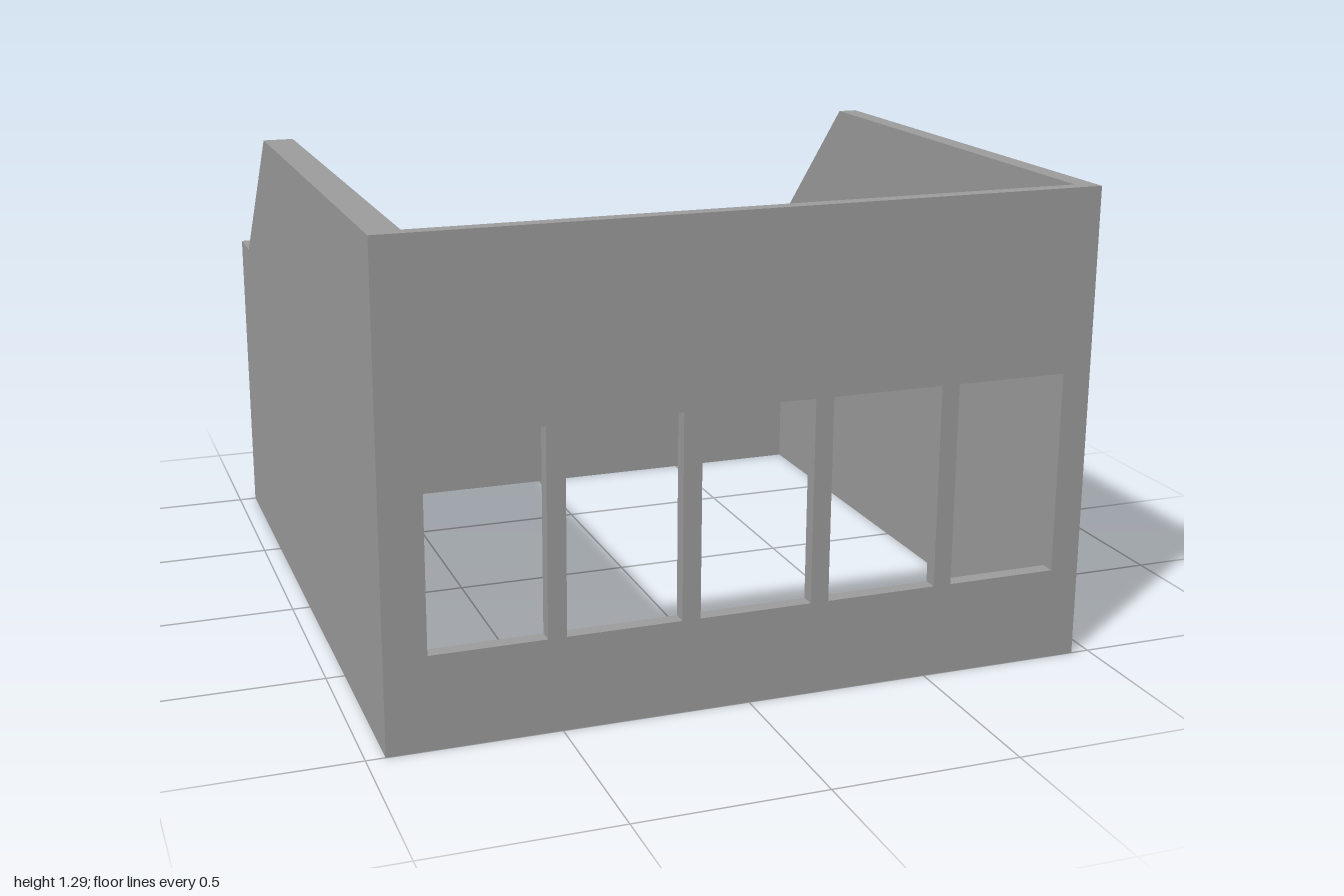
import * as THREE from 'three';
import { mergeGeometries } from 'three/addons/utils/BufferGeometryUtils.js';

const X = 0.95, LEFT = 0.895, RIGHT = -0.865;      // outer and inner faces of the side walls
const FRONT = 0.96, BACK = -0.857;                 // inner faces of the front and back walls
const HIGH = 1.287, LOW = 0.878, SLOPE = -0.443;   // wall heights, z where the slope starts

// Flat sheet from a 2D outline with window holes, placed by a (u, v) -> [x, y, z] rule
function sheet(outline, windows, place, flip) {
  const shape = new THREE.Shape(outline.map(([u, v]) => new THREE.Vector2(u, v)));
  for (const [a, b, c, d] of windows) {
    shape.holes.push(new THREE.Path([[a, c], [a, d], [b, d], [b, c]].map(([u, v]) => new THREE.Vector2(u, v))));
  }
  const flat = new THREE.ShapeGeometry(shape).toNonIndexed();
  const p = flat.attributes.position;
  const points = [];
  for (let i = 0; i < p.count; i++) points.push(place(p.getX(i), p.getY(i)));
  if (flip) points.reverse();
  return faces(points);
}

// Flat-shaded triangles from a list of points
function faces(points) {
  const g = new THREE.BufferGeometry();
  g.setAttribute('position', new THREE.Float32BufferAttribute(points.flat(), 3));
  g.computeVertexNormals();
  return g;
}

const quad = (a, b, c, d) => faces([a, b, c, a, c, d]);

// Horizontal coping strip facing up
const coping = (x0, x1, z0, z1, y) => quad([x0, y, z1], [x1, y, z1], [x1, y, z0], [x0, y, z0]);

// Sill, head and jambs lining a window opening
function reveal([x0, x1, y0, y1], z0, z1) {
  return [
    quad([x0, y0, z1], [x1, y0, z1], [x1, y0, z0], [x0, y0, z0]),
    quad([x0, y1, z0], [x1, y1, z0], [x1, y1, z1], [x0, y1, z1]),
    quad([x0, y0, z1], [x0, y0, z0], [x0, y1, z0], [x0, y1, z1]),
    quad([x1, y0, z0], [x1, y0, z1], [x1, y1, z1], [x1, y1, z0]),
  ];
}

const rect = (x0, x1, h) => [[x0, 0], [x1, 0], [x1, h], [x0, h]];

// Wall across x, pierced by windows
function crossWall(z0, z1, height, windows, outerIsFront) {
  const zOut = outerIsFront ? z1 : z0, zIn = outerIsFront ? z0 : z1;
  return [
    sheet(rect(-X, X, height), windows, (u, v) => [u, v, zOut], !outerIsFront),
    sheet(rect(RIGHT, LEFT, height), windows, (u, v) => [u, v, zIn], outerIsFront),
    coping(-X, X, z0, z1, height),
    ...windows.flatMap((w) => reveal(w, z0, z1)),
  ];
}

// Side wall with the rear of its top sloping down
function sideWall(outer, inner) {
  const x0 = Math.min(outer, inner), x1 = Math.max(outer, inner);
  const top = [[BACK, LOW], [SLOPE, HIGH]];
  const outside = [[1, 0], [1, HIGH], top[1], top[0], [-1, LOW], [-1, 0]];
  const inside = [[FRONT, 0], [FRONT, HIGH], top[1], top[0], [BACK, 0]];
  return [
    sheet(outside, [], (u, v) => [outer, v, u], outer > 0),
    sheet(inside, [], (u, v) => [inner, v, u], outer < 0),
    coping(x0, x1, SLOPE, FRONT, HIGH),
    quad([x0, HIGH, SLOPE], [x1, HIGH, SLOPE], [x1, LOW, BACK], [x0, LOW, BACK]),
  ];
}

export function createModel() {
  const group = new THREE.Group();
  group.name = 'building';
  const material = new THREE.MeshStandardMaterial({ color: 0x9d9d9d, side: THREE.DoubleSide });
  const add = (name, parts) => {
    const mesh = new THREE.Mesh(mergeGeometries(parts), material);
    mesh.name = name;
    group.add(mesh);
  };

  // Five evenly spaced front windows, three wider ones at the back
  const frontWindows = [0, 1, 2, 3, 4].map((i) => [-0.84 + i * 0.352, -0.537 + i * 0.352, 0.25, 0.797]);
  const backWindows = [-0.445, 0.013, 0.481].map((x) => [x, x + 0.4, 0.25, 0.82]);

  add('frontWall', crossWall(FRONT, 1, HIGH, frontWindows, true));
  add('backWall', crossWall(-1, BACK, LOW, backWindows, false));
  add('leftWall', sideWall(X, LEFT));
  add('rightWall', sideWall(-X, RIGHT));
  return group;
}
